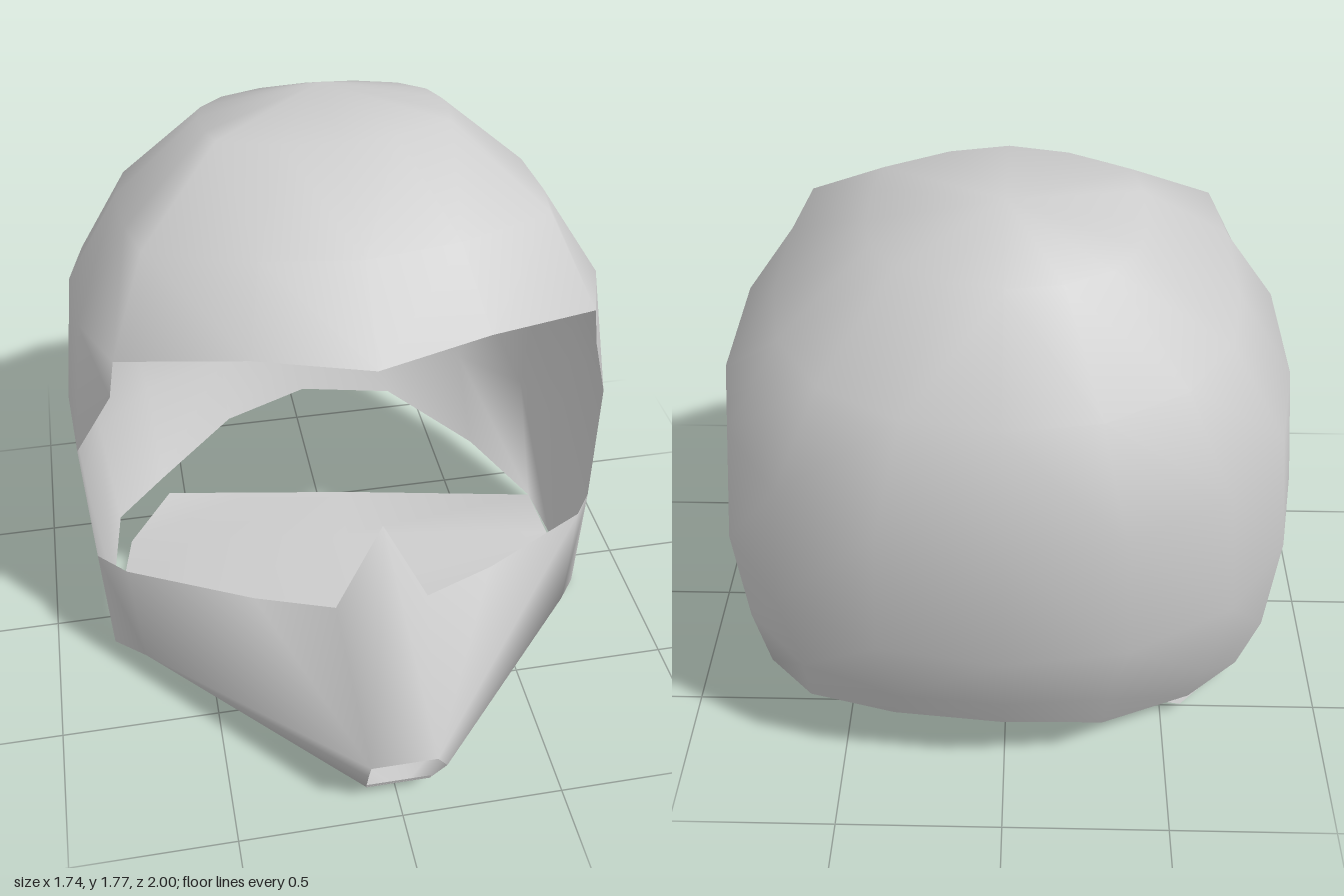
import * as THREE from 'three';
import { mergeVertices } from 'three/addons/utils/BufferGeometryUtils.js';

const shellGrey = new THREE.MeshStandardMaterial({ color: 0xcccccc, side: THREE.DoubleSide });
shellGrey.name = 'shell grey';
const { lerp } = THREE.MathUtils;

// Turns a list of corner points into one smooth surface with shared vertices.
function surface(name, corners) {
  let geo = new THREE.BufferGeometry();
  geo.setAttribute('position', new THREE.Float32BufferAttribute(corners.flat(), 3));
  geo = mergeVertices(geo, 1e-4);
  geo.computeVertexNormals();
  const mesh = new THREE.Mesh(geo, shellGrey);
  mesh.name = name;
  return mesh;
}

// Plan outline of one half, from the back centre round to the brow centre: [x, z]
const outline = [[0, -1], [0.35, -0.95], [0.65, -0.79], [0.82, -0.55], [0.87, -0.27],
  [0.85, 0.1], [0.8, 0.36], [0.386, 0.565], [0, 0.645]];
const crown = [0, 1.77, -0.37];
// Tilted rings from the crown down: half width, back z and y, front z and y
const rings = [
  [0.38, -0.63, 1.65, 0, 1.75],
  [0.65, -0.88, 1.38, 0.35, 1.57],
  [0.82, -1, 1.08, 0.54, 1.33],
  [0.87, -0.99, 0.67, 0.645, 0.9],
];
const brow = { 6: [0.71, 1.28, 0.29], 7: [0.34, 1.36, 0.47], 8: [0, 1.33, 0.54] };
const visorSide = [0.85, 0.825, 0.1];
const lowScale = [0.86, 0.88, 0.92, 0.96, 0.98];
// Lower rim around the neck, left and right
const neckRim = [[0, 0.27, -0.83], [0.33, 0.25, -0.78], [0.62, 0.11, -0.58],
  [0.79, 0.015, -0.34], [0.81, 0, -0.14], [0.81, 0.01, 0.13]];
const neckRimRight = [[0, 0.27, -0.83], [0.3, 0.21, -0.77], [0.58, 0.12, -0.57],
  [0.75, 0.1, -0.4], [0.8, 0, -0.14], [0.81, 0.01, 0.13]];
// Chin guard points shared by the cheeks and the floor
const cheekLow = [0.71, 0.1, 0.3];
const snoutBase = [0.1, 0.07, 0.93];
const mirror = ([x, y, z]) => [-x, y, z];

// One upright column of the shell, crown to rim; front columns stop at the visor
function column(k, rim) {
  const [ox, oz] = outline[k];
  const v = (oz + 1) / 1.645;
  const pts = [crown, ...rings.map(([w, zb, yb, zf, yf]) =>
    [w * ox / 0.87, lerp(yb, yf, v), lerp(zb, zf, v)])];
  if (k > 5) {
    pts.length = 3;
    pts.push(brow[k]);
    if (k === 6) pts.push([0.73, 1.15, 0.28]);
    return pts;
  }
  if (k === 5) {
    pts[4] = visorSide;
    pts.push([0.83, 0.41, 0.13]);
  } else {
    const s = lowScale[k];
    pts.push([ox * s, 0.41, -0.23 + (oz + 0.23) * s]);
  }
  pts.push(rim[k]);
  return pts;
}

// Dome, back, sides, cheeks and snout
function shellCorners() {
  const out = [];
  const peak = [0, 0.855, 0.64];
  const tip = [0.1, 0.24, 1];
  for (const side of [1, -1]) {
    const tri = (a, b, c) => out.push(...(side > 0 ? [a, b, c] : [a, c, b].map(mirror)));
    const quad = (a, d, c, b) => { tri(a, d, c); tri(a, c, b); };

    const cols = outline.map((_, k) => column(k, side > 0 ? neckRim : neckRimRight));
    for (let k = 0; k < cols.length - 1; k++) {
      const p = cols[k], q = cols[k + 1];
      tri(p[0], q[1], p[1]);
      for (let r = 1; r < Math.min(p.length, q.length) - 1; r++) {
        quad(p[r], q[r], q[r + 1], p[r + 1]);
      }
    }

    // Cheek and chin guard running to the snout
    const top = [[0.83, 0.41, 0.13], [0.74, 0.465, 0.28], [0.37, 0.525, 0.53], [0.14, 0.56, 0.65], peak];
    const mid = [side > 0 ? 0.14 : 0.1, 0.16, 0.965];
    quad(top[0], top[1], cheekLow, neckRim[5]);
    tri(cheekLow, top[1], tip);
    for (let i = 1; i < 4; i++) tri(top[i], top[i + 1], tip);
    tri(cheekLow, tip, mid);
    tri(cheekLow, mid, snoutBase);
  }
  // Nose ridge above the snout opening
  out.push(tip, peak, mirror(tip));
  return out;
}

// Floor under the chin guard: rows from the neck opening to the snout, left to right
function floorCorners() {
  const rows = [
    [neckRim[3], [0.1, 0.045, -0.45], [-0.25, 0.055, -0.5], [-0.56, 0.06, -0.55]],
    [[0.8, 0.005, -0.14], [0.05, 0.06, -0.2], [-0.5, 0.06, -0.28], [-0.72, 0.02, -0.35]],
    [[0.8, 0.015, 0.13], [0, 0.06, 0.1], [-0.56, 0.06, 0.06], [-0.8, 0.01, 0.02]],
    [cheekLow, [0, 0.065, 0.35], [-0.5, 0.08, 0.32], mirror(cheekLow)],
    [snoutBase, [0.03, 0.07, 0.93], [-0.03, 0.07, 0.93], mirror(snoutBase)],
  ];
  const out = [];
  for (let r = 0; r < rows.length - 1; r++) {
    const p = rows[r], q = rows[r + 1];
    for (let i = 0; i < 3; i++) out.push(p[i], q[i], q[i + 1], p[i], q[i + 1], p[i + 1]);
  }
  // Close the gap to the right cheek
  out.push([-0.8, 0.01, 0.02], mirror(neckRim[5]), mirror(cheekLow));
  return out;
}

// Narrow lip under the snout opening
function buildLip() {
  const a = [0.1, 0.085, 0.935], d = [0.1, 0.065, 0.928];
  return surface('snoutLip', [a, mirror(a), mirror(d), a, mirror(d), d]);
}

export function createModel() {
  const model = new THREE.Group();
  model.name = 'helmet';
  model.add(surface('helmetShell', [...shellCorners(), ...floorCorners()]), buildLip());
  return model;
}
